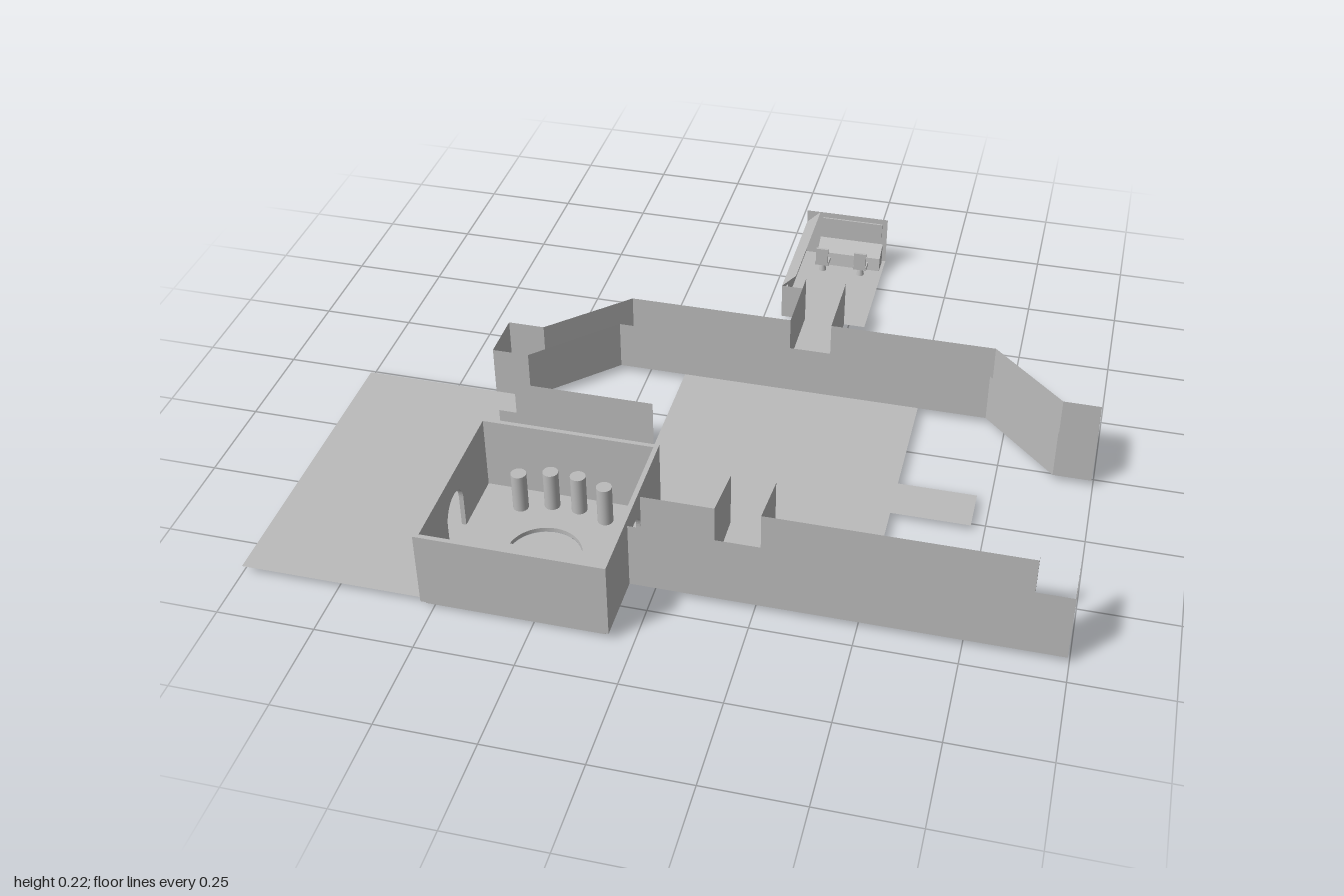
import * as THREE from 'three';

const F = 0.02; // floor level

export function createModel() {
  const model = new THREE.Group();
  const grey = new THREE.MeshStandardMaterial({ color: 0xbbbbbb, side: THREE.DoubleSide });
  grey.name = 'plain grey';

  const add = (name, geometry, x = 0, y = 0, z = 0) => {
    const mesh = new THREE.Mesh(geometry, grey);
    mesh.name = name;
    mesh.position.set(x, y, z);
    model.add(mesh);
    return mesh;
  };

  // Flat floor from plan points [x, z]
  const floor = (name, points, y = F) => {
    const shape = new THREE.Shape(points.map(([x, z]) => new THREE.Vector2(x, -z)));
    return add(name, new THREE.ShapeGeometry(shape).rotateX(-Math.PI / 2), 0, y, 0);
  };
  const rect = (x0, x1, z0, z1) => [[x0, z0], [x0, z1], [x1, z1], [x1, z0]];

  // Thin wall along plan points [x, z, top]
  const wall = (name, points, top = 0.16) => {
    const v = [];
    for (let i = 0; i + 1 < points.length; i++) {
      const [ax, az, at = top] = points[i];
      const [bx, bz, bt = top] = points[i + 1];
      v.push(ax, F, az, bx, F, bz, bx, bt, bz, ax, F, az, bx, bt, bz, ax, at, az);
    }
    const g = new THREE.BufferGeometry();
    g.setAttribute('position', new THREE.Float32BufferAttribute(v, 3));
    g.computeVertexNormals();
    return add(name, g);
  };

  // Open floors
  floor('sideYard', rect(-1, -0.525, 0.03, 0.855));
  floor('hallFloor', rect(-0.145, 0.51, -0.17, 0.41));
  floor('linkFloor', rect(-0.525, -0.145, 0.16, 0.28));
  floor('stubFloor', rect(0.51, 0.715, 0.16, 0.28));
  for (const z of [0.16, 0.28]) wall('linkWall', [[-0.525, z], [-0.145, z]]);

  // Rear corridor with bent ends
  floor('rearCorridorFloor', [
    [-0.63, -0.105], [-0.63, 0.03], [-0.53, 0.03], [-0.33, -0.17], [0.695, -0.17], [0.895, 0.03],
    [0.995, 0.03], [0.995, -0.105], [0.895, -0.105], [0.695, -0.3], [-0.33, -0.3], [-0.53, -0.105],
  ]);
  wall('rearCorridorBackWallRight', [[-0.63, 0.03], [-0.63, -0.105], [-0.53, -0.105], [-0.33, -0.3], [0.125, -0.3]]);
  wall('rearCorridorBackWallLeft', [[0.24, -0.3], [0.695, -0.3], [0.895, -0.105], [0.995, -0.105], [0.995, 0.03]]);
  wall('rearCorridorFrontWall', [[-0.63, 0.03], [-0.53, 0.03], [-0.33, -0.17], [0.695, -0.17], [0.895, 0.03], [0.995, 0.03]]);

  // Passage to the control room
  floor('rearPassageFloor', rect(0.125, 0.24, -0.515, -0.3));
  for (const x of [0.125, 0.24]) wall('rearPassageWall', [[x, -0.515], [x, -0.3]]);

  // Control room with a slanted upper side wall
  floor('controlRoomFloor', rect(0.055, 0.3, -0.875, -0.515));
  wall('controlRoomBackWall', [[0.055, -0.875], [0.3, -0.875]], 0.165);
  wall('controlRoomSideWall', [[0.055, -0.875], [0.055, -0.515]], 0.125);
  wall('controlRoomFrontWall', [[0.055, -0.515], [0.125, -0.515]], 0.125);
  const slant = add('slantedWall', new THREE.PlaneGeometry(0.36, 0.057).rotateY(Math.PI / 2), 0.075, 0.145, -0.695);
  slant.rotation.z = -Math.PI / 4;

  // Arrow plate on the side wall
  const arrow = new THREE.Shape([
    [0.55, 0.065], [0.79, 0.065], [0.79, 0.055], [0.83, 0.088], [0.79, 0.12],
    [0.79, 0.112], [0.55, 0.112], [0.58, 0.088],
  ].map(([a, b]) => new THREE.Vector2(a, b)));
  add('arrowPlate', new THREE.ExtrudeGeometry(arrow, { depth: 0.004, bevelEnabled: false }).rotateY(Math.PI / 2), 0.056);

  // Console, screen and seats
  const desk = new THREE.Shape([[0.815, 0.018], [0.82, 0.06], [0.865, 0.085], [0.865, 0.018]]
    .map(([a, b]) => new THREE.Vector2(a, b)));
  add('console', new THREE.ExtrudeGeometry(desk, { depth: 0.19, bevelEnabled: false }).rotateY(Math.PI / 2), 0.1);
  add('screen', new THREE.BoxGeometry(0.18, 0.05, 0.005), 0.195, 0.125, -0.87);
  for (const x of [0.123, 0.238]) {
    add('seatLeg', new THREE.CylinderGeometry(0.006, 0.012, 0.03, 10), x, 0.032, -0.787);
    add('seatPad', new THREE.BoxGeometry(0.04, 0.01, 0.035), x, 0.05, -0.787);
    add('seatBack', new THREE.BoxGeometry(0.036, 0.05, 0.007), x, 0.078, -0.77);
  }

  // Front corridor and its passage to the hall
  const top = 0.205;
  floor('frontCorridorFloor', rect(-0.06, 0.995, 0.58, 0.69));
  floor('frontCorridorNook', rect(0.9, 0.995, 0.55, 0.58));
  wall('frontCorridorOuterWall', [[-0.06, 0.69], [0.995, 0.69], [0.995, 0.55]], top);
  wall('frontCorridorInnerWallRight', [[-0.06, 0.58], [0.125, 0.58], [0.125, 0.41, 0.17]], top);
  wall('frontCorridorInnerWallLeft', [[0.24, 0.41, 0.17], [0.24, 0.58], [0.9, 0.58], [0.9, 0.55]], top);
  floor('frontPassageFloor', rect(0.125, 0.24, 0.41, 0.58));

  // Pillar room: four walls, two with an arched doorway
  const cx = -0.295, cz = 0.635, t = 0.012;
  for (const z of [0.406, 0.862]) add('pillarRoomWall', new THREE.BoxGeometry(0.47, 0.205, t), cx, 0.1225, z);
  for (const x of [-0.53, -0.072]) {
    const side = new THREE.Shape([[-0.864, F], [-0.404, F], [-0.404, 0.225], [-0.864, 0.225]]
      .map(([a, b]) => new THREE.Vector2(a, b)));
    const door = new THREE.Path();
    door.moveTo(-0.69, F + 0.001);
    door.lineTo(-0.69, 0.11);
    door.absarc(-cz, 0.11, 0.055, Math.PI, 0, true);
    door.lineTo(-0.58, F + 0.001);
    side.holes.push(door);
    add('doorwayWall', new THREE.ExtrudeGeometry(side, { depth: t, bevelEnabled: false }).rotateY(Math.PI / 2), x);
  }

  // Room floor with a round sunken centre in two halves
  const base = new THREE.Shape([[-0.225, -0.225], [0.225, -0.225], [0.225, 0.225], [-0.225, 0.225]]
    .map(([a, b]) => new THREE.Vector2(a, b)));
  const half = (r, from) => new THREE.Path().absarc(0, 0, r, from, from + Math.PI - 0.3, false);
  for (const from of [0.15, Math.PI + 0.15]) base.holes.push(half(0.095, from));
  add('pillarRoomFloor', new THREE.ExtrudeGeometry(base, { depth: 0.012, bevelEnabled: false, curveSegments: 24 })
    .rotateX(-Math.PI / 2), cx, 0.009, cz);
  add('sunkenDisc', new THREE.CylinderGeometry(0.095, 0.095, 0.008, 40), cx, 0.004, cz);
  for (const a of [0.4, Math.PI + 0.4]) {
    add('floorRing', new THREE.RingGeometry(0.132, 0.138, 32, 1, a, Math.PI - 0.8).rotateX(-Math.PI / 2), cx, 0.023, cz);
  }

  // Eight pillars, mirrored about the centre
  for (const sx of [-1, 1]) for (const sz of [-1, 1]) for (const [dx, dz] of [[0.112, 0.155], [0.036, 0.18]]) {
    add('pillar', new THREE.CylinderGeometry(0.02, 0.02, 0.11, 20), cx + sx * dx, 0.075, cz + sz * dz);
  }
  return model;
}
